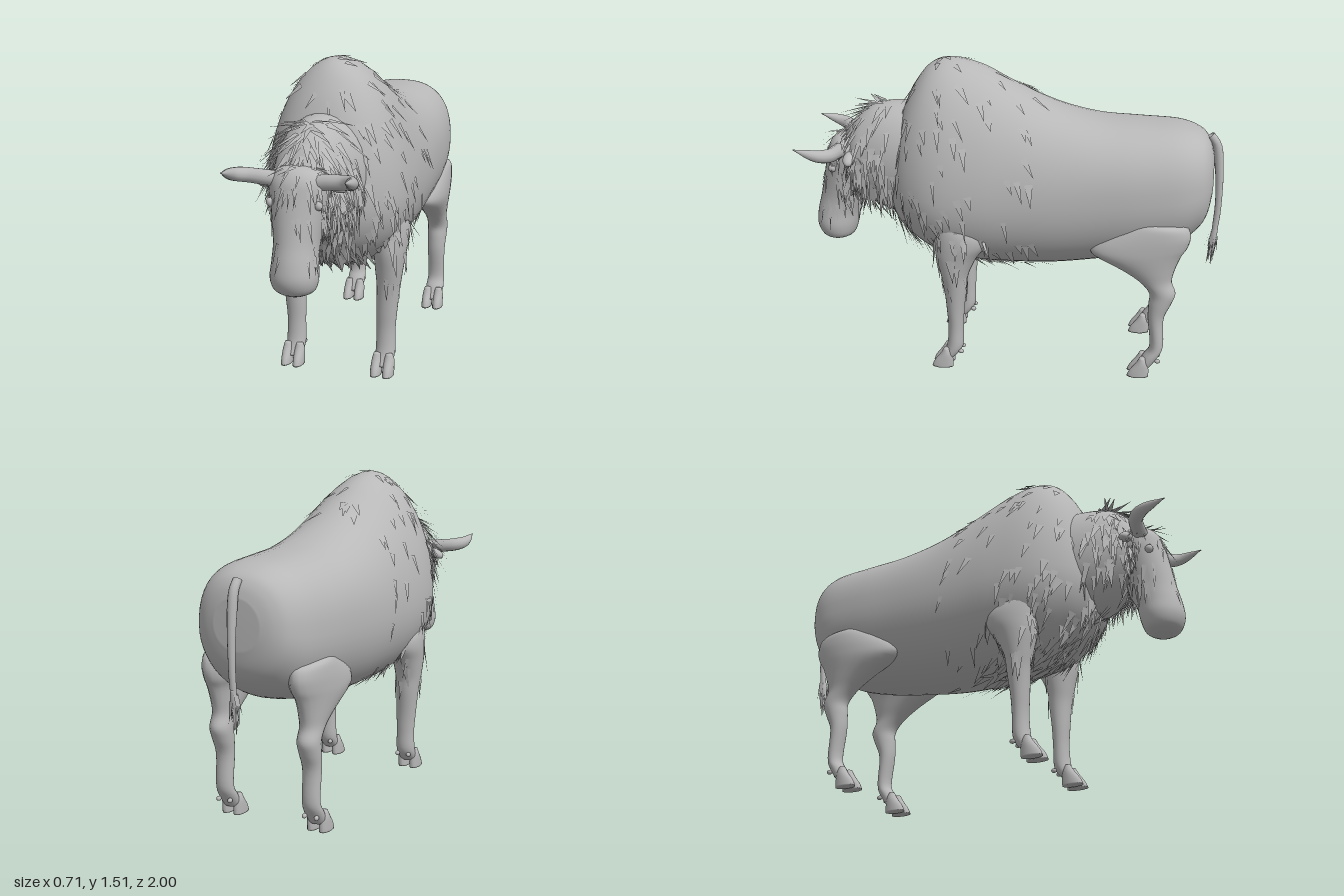
import * as THREE from 'three';

const grey = new THREE.MeshStandardMaterial({ color: 0xb8b8b8, side: THREE.DoubleSide });
grey.name = 'plain grey';

// Seeded random numbers
let seed = 7;
const rand = (a = 0, b = 1) => {
  seed = (seed * 16807) % 2147483647;
  return a + (b - a) * seed / 2147483647;
};

// Smooth row lookup in a small table, t from 0 to 1
function row(table, t) {
  const last = table.length - 1, f = Math.min(Math.max(t, 0), 1) * last;
  const i = Math.min(Math.floor(f), last - 1), u = f - i;
  const at = k => table[Math.min(Math.max(k, 0), last)];
  return table[0].map((_, c) => {
    const [p, q, r, s] = [at(i - 1)[c], at(i)[c], at(i + 1)[c], at(i + 2)[c]];
    return 0.5 * (2 * q + (r - p) * u + (2 * p - 5 * q + 4 * r - s) * u * u + (3 * q - p - 3 * r + s) * u * u * u);
  });
}
const bend = (v, e) => Math.sign(v) * Math.pow(Math.abs(v), 2 / e);

// Surface along z; rows: z, bottom, top, half width, widest height, upper exponent
const trunkSurface = table => (t, a) => {
  const [z, bottom, top, w, mid, e] = row(table, t);
  const s = Math.sin(a), k = s > 0 ? e : 2.1;
  return new THREE.Vector3(w * bend(Math.cos(a), k), mid + bend(s, k) * (s > 0 ? top - mid : mid - bottom), z);
};
// Surface along y; rows: y, back z, front z, centre x, half width
const limbSurface = (table, side = 1, dx = 0, dz = 0) => (t, a) => {
  const [y, back, front, x, w] = row(table, t);
  return new THREE.Vector3(side * x + dx + w * Math.cos(a), y, dz + (back + front) / 2 - Math.sin(a) * (front - back) / 2);
};

// Closed skin over a surface function
function skin(name, surface, rings, sides) {
  const pos = [], index = [], ends = [new THREE.Vector3(), new THREE.Vector3()];
  for (let i = 0; i <= rings; i++) {
    for (let j = 0; j < sides; j++) {
      const p = surface(i / rings, j / sides * Math.PI * 2);
      pos.push(p.x, p.y, p.z);
      if (i === 0) ends[0].addScaledVector(p, 1 / sides);
      if (i === rings) ends[1].addScaledVector(p, 1 / sides);
    }
  }
  const n = (rings + 1) * sides;
  ends.forEach(p => pos.push(p.x, p.y, p.z));
  for (let j = 0; j < sides; j++) {
    const k = (j + 1) % sides;
    for (let i = 0; i < rings; i++) {
      const a = i * sides + j, b = i * sides + k;
      index.push(a, b, a + sides, b, b + sides, a + sides);
    }
    index.push(n, k, j, n + 1, rings * sides + j, rings * sides + k);
  }
  const g = new THREE.BufferGeometry();
  g.setAttribute('position', new THREE.Float32BufferAttribute(pos, 3));
  g.setIndex(index);
  g.computeVertexNormals();
  return named(name, g);
}
function named(name, geometry) {
  const m = new THREE.Mesh(geometry, grey);
  m.name = name;
  return m;
}

// Flat pointed locks of hair lying on a surface
function hair(name, surface, count, tRange, aRange, length, width, lift, flow) {
  const pos = [];
  for (let i = 0; i < count; i++) {
    const t = rand(...tRange), a = rand(...aRange), p = surface(t, a);
    const da = surface(t, a + 0.02).sub(surface(t, a - 0.02));
    const dt = surface(t + 0.01, a).sub(surface(t - 0.01, a));
    const normal = da.cross(dt).normalize();
    const dir = new THREE.Vector3(flow[0] * Math.sign(p.x) + rand(-0.2, 0.2), flow[1], flow[2] + rand(-0.2, 0.2));
    dir.addScaledVector(normal, -dir.dot(normal)).normalize();
    const across = normal.clone().cross(dir).multiplyScalar(width * rand(0.3, 0.6));
    const l = length * rand(0.6, 1.2);
    const tip = p.clone().addScaledVector(dir, l).addScaledVector(normal, l * lift * rand(0.5, 1.3));
    p.addScaledVector(normal, 0.003);
    for (const v of [p.clone().add(across), tip, p.clone().sub(across)]) pos.push(v.x, v.y, v.z);
  }
  const g = new THREE.BufferGeometry();
  g.setAttribute('position', new THREE.Float32BufferAttribute(pos, 3));
  g.computeVertexNormals();
  return named(name, g);
}

// Tube whose radius follows a list of values
function taperedTube(name, points, radii) {
  const curve = new THREE.CatmullRomCurve3(points.map(p => new THREE.Vector3(...p)));
  const n = 24, sides = 12, g = new THREE.TubeGeometry(curve, n, 1, sides), p = g.attributes.position;
  const v = new THREE.Vector3();
  for (let i = 0; i <= n; i++) {
    const c = curve.getPointAt(i / n), r = row(radii.map(x => [x]), i / n)[0];
    for (let j = 0; j <= sides; j++) {
      const k = i * (sides + 1) + j;
      v.fromBufferAttribute(p, k).sub(c).multiplyScalar(r).add(c);
      p.setXYZ(k, v.x, v.y, v.z);
    }
  }
  return named(name, g);
}
function ball(name, x, y, z, sx, sy, sz) {
  const m = named(name, new THREE.SphereGeometry(1, 14, 10));
  m.position.set(x, y, z);
  m.scale.set(sx, sy, sz);
  return m;
}

const bodyRows = [
  [-0.945, 0.86, 1.08, 0.11, 0.97, 2], [-0.925, 0.77, 1.14, 0.175, 0.95, 2.2], [-0.88, 0.7, 1.185, 0.23, 0.93, 2.4],
  [-0.78, 0.62, 1.215, 0.275, 0.91, 2.5], [-0.6, 0.565, 1.225, 0.3, 0.9, 2.4], [-0.4, 0.53, 1.24, 0.31, 0.89, 2.3],
  [-0.2, 0.505, 1.295, 0.32, 0.88, 2.1], [0, 0.5, 1.39, 0.328, 0.88, 1.95], [0.14, 0.505, 1.465, 0.334, 0.88, 1.85],
  [0.28, 0.525, 1.5, 0.33, 0.88, 1.85], [0.38, 0.56, 1.475, 0.31, 0.89, 1.85], [0.46, 0.61, 1.38, 0.27, 0.9, 1.95],
  [0.52, 0.66, 1.25, 0.22, 0.9, 2], [0.57, 0.73, 1.08, 0.15, 0.88, 2], [0.6, 0.8, 0.93, 0.06, 0.86, 2]];
const neckRows = [
  [0.4, 0.74, 1.27, 0.22, 1, 2], [0.5, 0.72, 1.28, 0.21, 1, 2], [0.6, 0.74, 1.275, 0.19, 1, 2],
  [0.68, 0.78, 1.25, 0.165, 1, 2], [0.75, 0.85, 1.19, 0.14, 1, 2], [0.8, 0.93, 1.1, 0.08, 1, 2]];
const headRows = [
  [0.57, 0.83, 0.91, 0, 0.045], [0.595, 0.79, 0.95, 0, 0.09], [0.65, 0.77, 0.972, 0, 0.106], [0.72, 0.755, 0.965, 0, 0.1],
  [0.8, 0.72, 0.945, 0, 0.1], [0.9, 0.69, 0.925, 0, 0.115], [1, 0.68, 0.905, 0, 0.13], [1.06, 0.7, 0.89, 0, 0.125],
  [1.1, 0.74, 0.86, 0, 0.09], [1.115, 0.78, 0.82, 0, 0.03]];
const frontLegRows = [
  [0.04, 0.27, 0.335, 0.225, 0.042], [0.1, 0.225, 0.305, 0.225, 0.047], [0.2, 0.22, 0.295, 0.225, 0.045],
  [0.3, 0.215, 0.3, 0.228, 0.05], [0.42, 0.2, 0.31, 0.235, 0.056], [0.5, 0.19, 0.325, 0.238, 0.065],
  [0.59, 0.15, 0.345, 0.24, 0.075], [0.66, 0.1, 0.35, 0.24, 0.082], [0.72, 0.1, 0.355, 0.235, 0.083],
  [0.77, 0.17, 0.36, 0.225, 0.075], [0.8, 0.25, 0.34, 0.22, 0.05]];
const backLegRows = [
  [0.04, -0.69, -0.62, 0.225, 0.042], [0.1, -0.73, -0.655, 0.225, 0.047], [0.16, -0.75, -0.685, 0.225, 0.043],
  [0.3, -0.745, -0.67, 0.225, 0.045], [0.38, -0.775, -0.67, 0.225, 0.05], [0.44, -0.795, -0.67, 0.225, 0.052],
  [0.5, -0.775, -0.62, 0.225, 0.053], [0.56, -0.785, -0.53, 0.225, 0.065], [0.63, -0.81, -0.4, 0.225, 0.08],
  [0.68, -0.84, -0.385, 0.22, 0.088], [0.74, -0.85, -0.45, 0.22, 0.085], [0.79, -0.82, -0.53, 0.215, 0.08],
  [0.81, -0.7, -0.57, 0.21, 0.06]];
const toeRows = [
  [0, -0.05, 0.055, 0, 0.026], [0.03, -0.05, 0.042, 0, 0.026], [0.07, -0.045, 0.012, 0, 0.024], [0.1, -0.03, -0.005, 0, 0.016]];

export function createModel() {
  const model = new THREE.Group();
  model.name = 'shaggyBull';
  const TAU = Math.PI * 2;
  const body = trunkSurface(bodyRows), neck = trunkSurface(neckRows), head = limbSurface(headRows);

  // Trunk, neck and head
  model.add(skin('body', body, 70, 48), skin('neck', neck, 24, 36), skin('head', head, 36, 32));

  // Coat: thin over the forequarters, thick on neck, brow and cheeks
  model.add(
    hair('bodyHair', body, 200, [0.46, 0.86], [0, TAU], 0.1, 0.035, 0.15, [0.15, -1, -0.3]),
    hair('bellyHair', body, 50, [0.44, 0.86], [Math.PI * 1.3, Math.PI * 1.7], 0.09, 0.04, 0.45, [0, -0.6, -0.6]),
    hair('chestHair', body, 25, [0.84, 0.95], [Math.PI * 1.2, Math.PI * 1.8], 0.11, 0.03, 0.3, [0, -1, -0.2]),
    hair('neckHair', neck, 170, [0.35, 0.98], [-0.6, Math.PI + 0.6], 0.13, 0.032, 0.3, [0.1, -1, -0.05]),
    hair('throatHair', neck, 45, [0.3, 0.9], [Math.PI, TAU], 0.13, 0.03, 0.25, [0.05, -1, 0]),
    hair('cheekHair', head, 110, [0.42, 0.9], [-0.3, Math.PI + 0.3], 0.13, 0.025, 0.15, [0.05, -1, -0.1]),
    hair('faceHair', head, 40, [0.35, 0.97], [Math.PI, TAU], 0.1, 0.018, 0.1, [0.1, -1, 0.1]));

  for (const side of [1, -1]) {
    // Horns, ears and eyes
    model.add(
      taperedTube('horn', [[0.06, 1.05, 0.815], [0.14, 1.06, 0.825], [0.225, 1.07, 0.845], [0.262, 1.08, 0.89], [0.268, 1.11, 1]]
        .map(([x, y, z]) => [side * x, y, z]), [0.037, 0.035, 0.033, 0.031, 0.02, 0.002]),
      ball('eye', side * 0.108, 0.965, 0.86, 0.018, 0.02, 0.02));
    const ear = ball('ear', side * 0.15, 1.03, 0.765, 0.05, 0.024, 0.03);
    ear.rotation.z = -side * 0.35;
    model.add(ear);

    // Legs with cloven hooves and dewclaws
    for (const [name, rows, hoofZ] of [['frontLeg', frontLegRows, 0.32], ['backLeg', backLegRows, -0.635]]) {
      const leg = new THREE.Group(), surface = limbSurface(rows, side);
      leg.name = name;
      leg.add(skin(name + 'Limb', surface, 48, 24));
      for (const toe of [-1, 1]) {
        const x = side * 0.225 + toe * 0.03;
        leg.add(skin('hoofToe', limbSurface(toeRows, 1, x, hoofZ), 10, 16));
        leg.add(ball('dewclaw', x, 0.085, hoofZ - 0.09, 0.011, 0.011, 0.014));
      }
      if (name === 'frontLeg') {
        leg.add(hair('frontLegHair', surface, 26, [0.42, 0.8], [0, TAU], 0.11, 0.03, 0.15, [0, -1, -0.15]));
      }
      model.add(leg);
    }
  }

  // Tail with a tuft at its end
  model.add(taperedTube('tail', [[0, 1.16, -0.925], [0, 1.12, -0.955], [0, 1.0, -0.975], [0, 0.8, -0.982], [0, 0.62, -0.968]],
    [0.02, 0.022, 0.019, 0.016, 0.015, 0.012]));
  const tuft = limbSurface([[0.58, -0.972, -0.955, 0, 0.009], [0.64, -0.985, -0.953, 0, 0.017], [0.7, -0.99, -0.965, 0, 0.012]]);
  model.add(skin('tailTuft', tuft, 10, 12), hair('tailHair', tuft, 24, [0, 0.9], [0, TAU], 0.1, 0.02, 0.1, [0, -1, 0.1]));
  return model;
}
